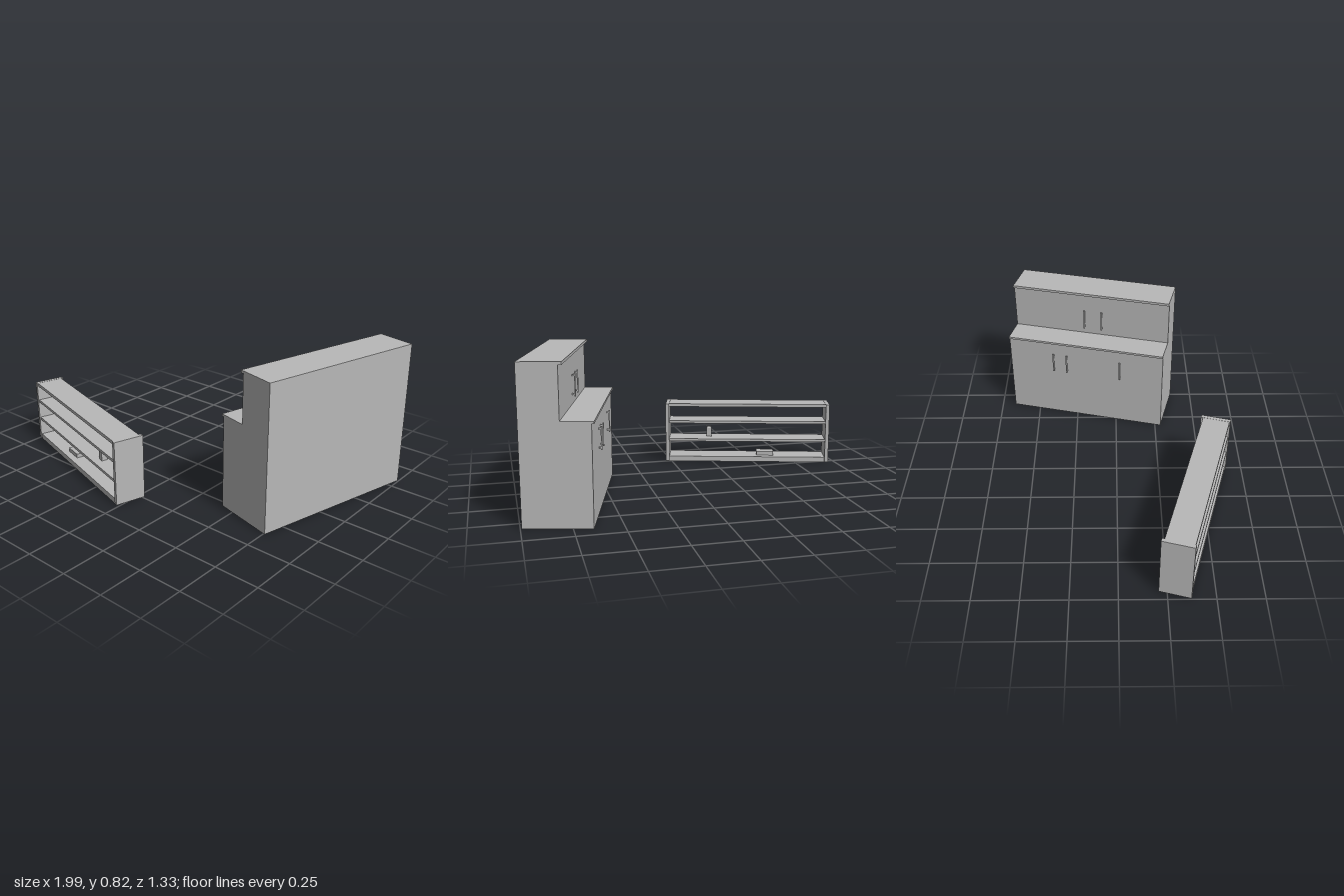
import * as THREE from 'three';

const grey = new THREE.MeshStandardMaterial({ color: 0xb8b8b8, side: THREE.DoubleSide });
grey.name = 'plain grey';

// Box given by its lower and upper limits on each axis
function box(parent, name, [x0, x1], [y0, y1], [z0, z1], openBottom = false) {
  const geo = new THREE.BoxGeometry(x1 - x0, y1 - y0, z1 - z0);
  if (openBottom) {
    const idx = Array.from(geo.index.array);
    idx.splice(18, 6); // drop the underside face
    geo.setIndex(idx);
    geo.clearGroups();
  }
  const mesh = new THREE.Mesh(geo, grey);
  mesh.name = name;
  mesh.position.set((x0 + x1) / 2, (y0 + y1) / 2, (z0 + z1) / 2);
  parent.add(mesh);
  return mesh;
}

// Bar handle on two posts, standing off a door that faces -x
function handle(parent, x, y, z) {
  const g = new THREE.Group();
  g.name = 'doorHandle';
  box(g, 'handleBar', [-0.018, -0.011], [-0.062, 0.062], [-0.004, 0.004]);
  for (const s of [-1, 1])
    box(g, 'handlePost', [-0.012, 0.002], [s * 0.05 - 0.004, s * 0.05 + 0.004], [-0.004, 0.004]);
  g.position.set(x, y, z);
  parent.add(g);
}

// Tall two-step cabinet, doors toward -x
function makeCabinet() {
  const g = new THREE.Group();
  g.name = 'cabinet';
  const back = 0.182, len = [-0.49, 0.49];
  const lowFront = -0.17, upFront = -0.018;
  box(g, 'lowerBody', [lowFront, back], [0, 0.52], len, true);
  box(g, 'counterTop', [-0.182, back], [0.52, 0.533], len);
  box(g, 'upperBody', [upFront, back], [0.533, 0.802], len);
  box(g, 'upperTop', [-0.036, back], [0.802, 0.817], len);
  for (const z of [-0.205, -0.12, 0.22]) handle(g, lowFront, 0.385, z);
  for (const z of [-0.04, 0.07]) handle(g, upFront, 0.635, z);
  g.position.set(0.699, 0, -0.15);
  g.rotation.y = -0.243;
  return g;
}

// Long open shelf unit with two small objects
function makeShelfUnit() {
  const g = new THREE.Group();
  g.name = 'shelfUnit';
  for (const s of [-1, 1])
    box(g, 'endPanel', s < 0 ? [-0.516, -0.494] : [0.494, 0.516], [0.006, 0.375], [-0.086, 0.086]);
  const boards = [['bottomBoard', 0, 0.032], ['lowerShelf', 0.131, 0.147],
    ['upperShelf', 0.248, 0.264], ['topBoard', 0.355, 0.374]];
  for (const [name, y0, y1] of boards)
    box(g, name, [-0.495, 0.495], [y0, y1], [-0.073, 0.081]);

  // flat box on the bottom board
  box(g, 'flatBox', [-0.172, -0.064], [0.032, 0.056], [-0.033, 0.042]);

  // small jar with a tapered top on the lower shelf
  box(g, 'jarBody', [0.226, 0.258], [0.147, 0.2], [0, 0.036]);
  const cap = new THREE.Mesh(
    new THREE.CylinderGeometry(0.5, Math.SQRT1_2, 1, 4, 1).rotateY(Math.PI / 4).toNonIndexed(), grey);
  cap.geometry.computeVertexNormals();
  cap.name = 'jarCap';
  cap.scale.set(0.032, 0.012, 0.036);
  cap.position.set(0.242, 0.206, 0.018);
  g.add(cap);

  g.position.set(-0.48, 0, 0.432);
  g.rotation.y = -0.282;
  return g;
}

export function createModel() {
  const model = new THREE.Group();
  model.name = 'cabinetAndShelf';
  model.add(makeCabinet(), makeShelfUnit());
  return model;
}
